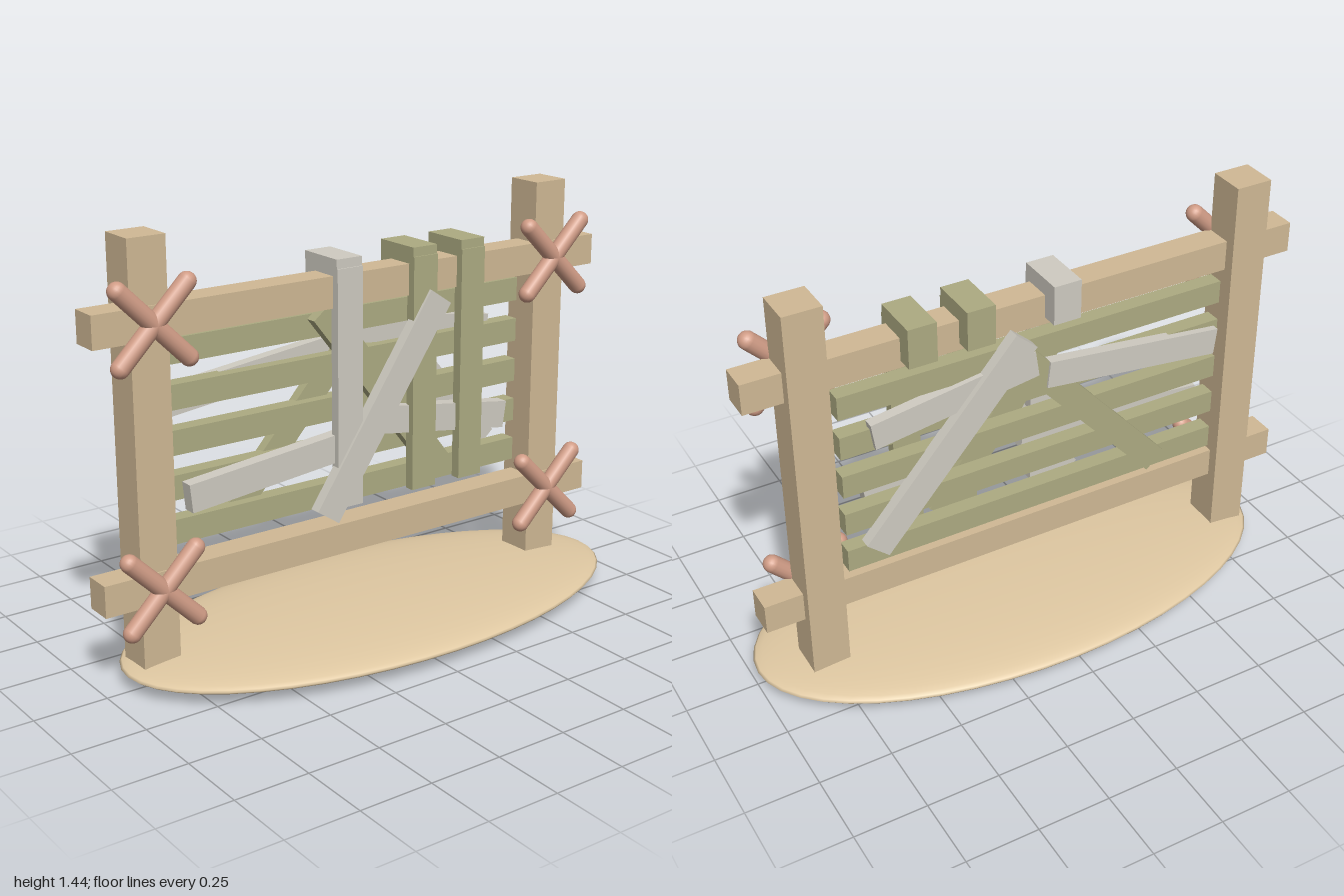
import * as THREE from 'three';

const mat = (color) => new THREE.MeshStandardMaterial({ color });

export function createModel() {
  const model = new THREE.Group();
  const wood = mat(0xd0b995), sand = mat(0xdfc8a2), green = mat(0xadab82);
  const grey = mat(0xcfcbc1), rope = mat(0xd09c86);

  const add = (name, geometry, material, x, y, z, parent = model) => {
    const mesh = new THREE.Mesh(geometry, material);
    mesh.name = name;
    mesh.position.set(x, y, z);
    parent.add(mesh);
    return mesh;
  };

  // Box given by its extents
  const box = (name, material, x0, x1, y0, y1, z0, z1) =>
    add(name, new THREE.BoxGeometry(x1 - x0, y1 - y0, z1 - z0), material,
      (x0 + x1) / 2, (y0 + y1) / 2, (z0 + z1) / 2);

  // Plank running from (ax, ay) to (bx, by) between two depths
  const plank = (name, material, ax, ay, bx, by, width, z0, z1) => {
    const length = Math.hypot(bx - ax, by - ay);
    const mesh = add(name, new THREE.BoxGeometry(length, width, z1 - z0), material,
      (ax + bx) / 2, (ay + by) / 2, (z0 + z1) / 2);
    mesh.rotation.z = Math.atan2(by - ay, bx - ax);
  };

  // Flattened mound of ground
  const mound = new THREE.SphereGeometry(1, 48, 24);
  mound.scale(0.96, 0.05, 0.455);
  add('groundMound', mound, sand, 0.035, 0.052, 0);

  // Posts and rails
  const postX = [-0.806, 0.775], railY = [0.333, 1.183];
  for (const x of postX) box('post', wood, x - 0.065, x + 0.065, 0.01, 1.445, -0.115, 0.015);
  for (const y of railY) box('rail', wood, -1, 0.973, y - 0.053, y + 0.053, -0.077, 0.021);

  // Crossed rope lashings at each joint
  const strand = new THREE.CapsuleGeometry(0.03, 0.33, 8, 16);
  for (const x of postX) for (const y of railY) {
    const lashing = new THREE.Group();
    lashing.name = 'ropeLashing';
    lashing.position.set(x, y, 0.041);
    for (const side of [-1, 1]) {
      add('ropeStrand', strand, rope, 0, 0, 0, lashing).rotation.z = side * Math.PI / 4;
    }
    model.add(lashing);
  }

  // Horizontal slats
  for (let i = 0; i < 5; i++) {
    const y = 0.475 + i * 0.1475;
    box('slat', green, -0.71, 0.685, y - 0.041, y + 0.041, -0.1, -0.045);
  }

  // Upright boards hooked over the top rail
  for (const [x, material] of [[-0.098, grey], [0.207, green], [0.408, green]]) {
    box('uprightBoard', material, x - 0.049, x + 0.049, 0.455, 1.262, 0.012, 0.048);
    box('boardHook', material, x - 0.049, x + 0.049, 1.155, 1.293, -0.134, 0.043);
  }

  // Boards across the front of the slats
  plank('frontDiagonal', grey, -0.195, 0.438, 0.265, 1.118, 0.1, 0.018, 0.058);
  plank('frontBoard', grey, -0.69, 0.603, 0.0, 0.672, 0.095, -0.02, 0.027);
  plank('frontBoard', grey, 0.0, 0.728, 0.58, 0.642, 0.095, -0.02, 0.027);
  plank('innerDiagonal', green, -0.165, 1.12, 0.325, 0.495, 0.095, -0.045, -0.005);

  // Boards across the back of the slats
  plank('backDiagonal', green, -0.475, 0.465, 0.085, 1.09, 0.09, -0.116, -0.08);
  plank('backDiagonal', grey, 0.05, 1.13, 0.595, 0.51, 0.1, -0.138, -0.098);
  plank('backBoard', grey, -0.69, 0.89, -0.04, 0.965, 0.095, -0.124, -0.085);
  plank('backBoard', grey, 0.0, 1.02, 0.58, 0.935, 0.095, -0.118, -0.08);

  return model;
}
